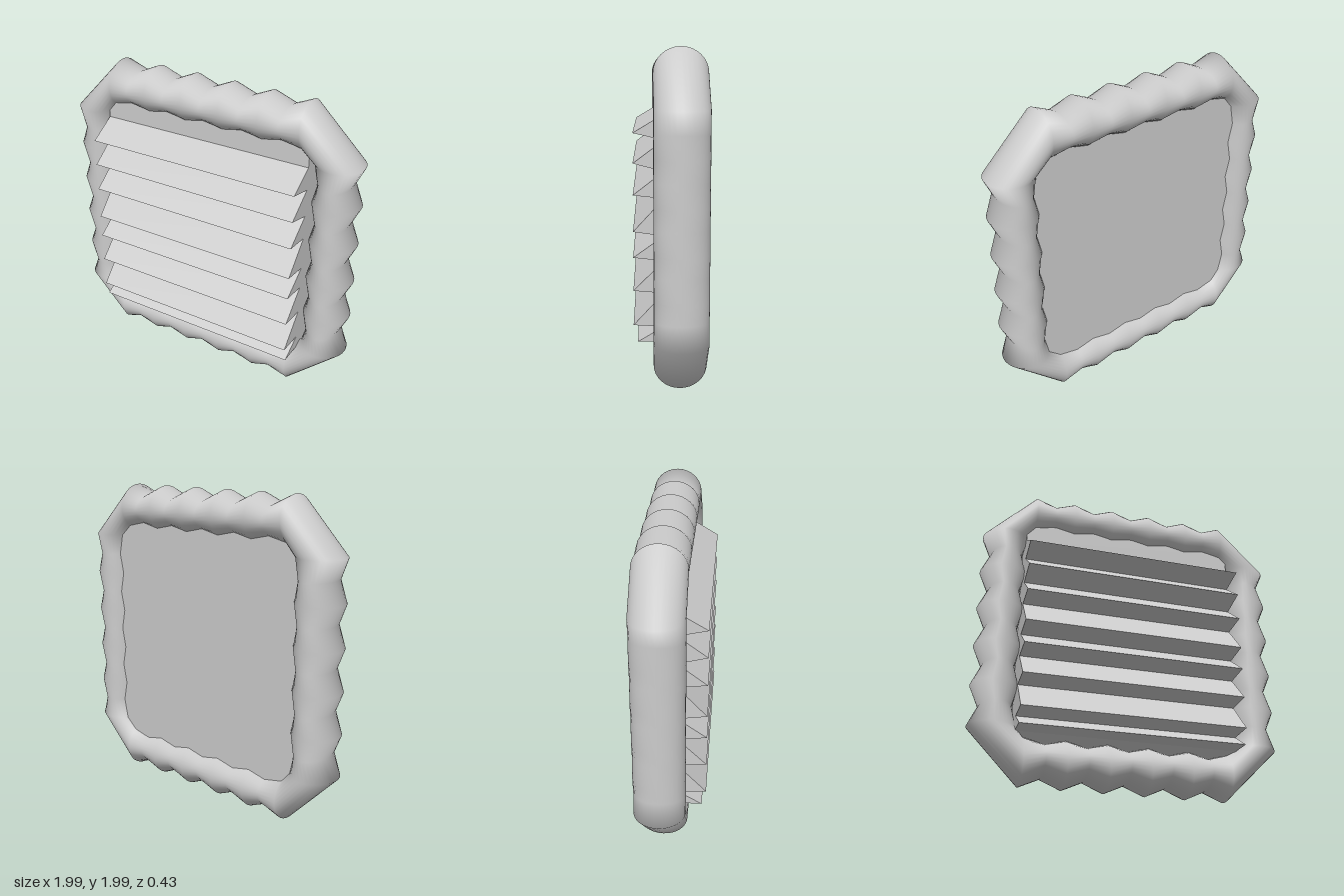
import * as THREE from 'three';

const grey = () => new THREE.MeshStandardMaterial({ color: 0xcccccc });

// Padded rim: oval sections that swell and pinch along four straight sides, joined by bevelled corners
function rimGeometry() {
  const steps = 11, around = 32, span = 0.655, halfDepth = 0.157;
  const positions = [], index = [];
  for (let side = 0; side < 4; side++) {
    const angle = side * Math.PI / 2;
    const nx = Math.round(Math.cos(angle)), ny = Math.round(Math.sin(angle));
    for (let i = 0; i < steps; i++) {
      const peak = i % 2 === 0;
      const half = peak ? 0.148 : 0.1;
      const mid = (peak ? 0.997 : 0.937) - half;
      const t = -span + (2 * span * i) / (steps - 1);
      for (let j = 0; j < around; j++) {
        const phi = (j / around) * Math.PI * 2;
        const d = mid + half * Math.cos(phi);
        // slide along the side, without shifting the outermost extent
        const x = nx * d - ny * t - 0.01 * Math.abs(ny);
        const y = ny * d + nx * t + 1.003;
        positions.push(x, y, -0.057 + halfDepth * Math.sin(phi));
      }
    }
  }
  const rings = steps * 4;
  for (let i = 0; i < rings; i++) {
    const next = (i + 1) % rings;
    for (let j = 0; j < around; j++) {
      const k = (j + 1) % around;
      const a = i * around + j, b = next * around + j;
      const c = next * around + k, d = i * around + k;
      index.push(a, b, c, a, c, d);
    }
  }
  const geometry = new THREE.BufferGeometry();
  geometry.setAttribute('position', new THREE.Float32BufferAttribute(positions, 3));
  geometry.setIndex(index);
  geometry.computeVertexNormals();
  return geometry;
}

// Louvre block: sawtooth side profile (depth, height) pushed out sideways
function louvreGeometry() {
  const baseZ = 0.04, tipZ = 0.215;
  const slats = [ // height of each tip and of the joint below it
    [1.525, 1.485], [1.355, 1.31], [1.175, 1.155], [0.965, 0.94],
    [0.815, 0.795], [0.62, 0.605], [0.415, 0.405],
  ];
  const shape = new THREE.Shape();
  shape.moveTo(-0.12, 1.76);
  shape.lineTo(baseZ, 1.76);
  shape.lineTo(baseZ, 1.63);
  for (const [tip, joint] of slats) {
    shape.lineTo(tipZ, tip);
    shape.lineTo(baseZ, joint);
  }
  shape.lineTo(0.19, 0.315);
  shape.lineTo(baseZ, 0.315);
  shape.lineTo(-0.12, 0.22);
  shape.closePath();
  const geometry = new THREE.ExtrudeGeometry(shape, { depth: 1.415, bevelEnabled: false });
  geometry.rotateY(-Math.PI / 2);
  geometry.translate(0.695, 0, 0);
  return geometry;
}

// Back panel: flat octagon whose edge is buried in the rim
function panelGeometry() {
  const r = 0.82, c = 0.68;
  const corners = [[r, -c], [r, c], [c, r], [-c, r], [-r, c], [-r, -c], [-c, -r], [c, -r]];
  const shape = new THREE.Shape(corners.map(([x, y]) => new THREE.Vector2(x, y + 1.003)));
  const geometry = new THREE.ExtrudeGeometry(shape, { depth: 0.04, bevelEnabled: false });
  geometry.translate(0, 0, -0.145);
  return geometry;
}

export function createModel() {
  const model = new THREE.Group();
  model.name = 'louvredPanel';
  const parts = { rim: rimGeometry(), louvres: louvreGeometry(), backPanel: panelGeometry() };
  for (const [name, geometry] of Object.entries(parts)) {
    const mesh = new THREE.Mesh(geometry, grey());
    mesh.name = name;
    model.add(mesh);
  }
  return model;
}
